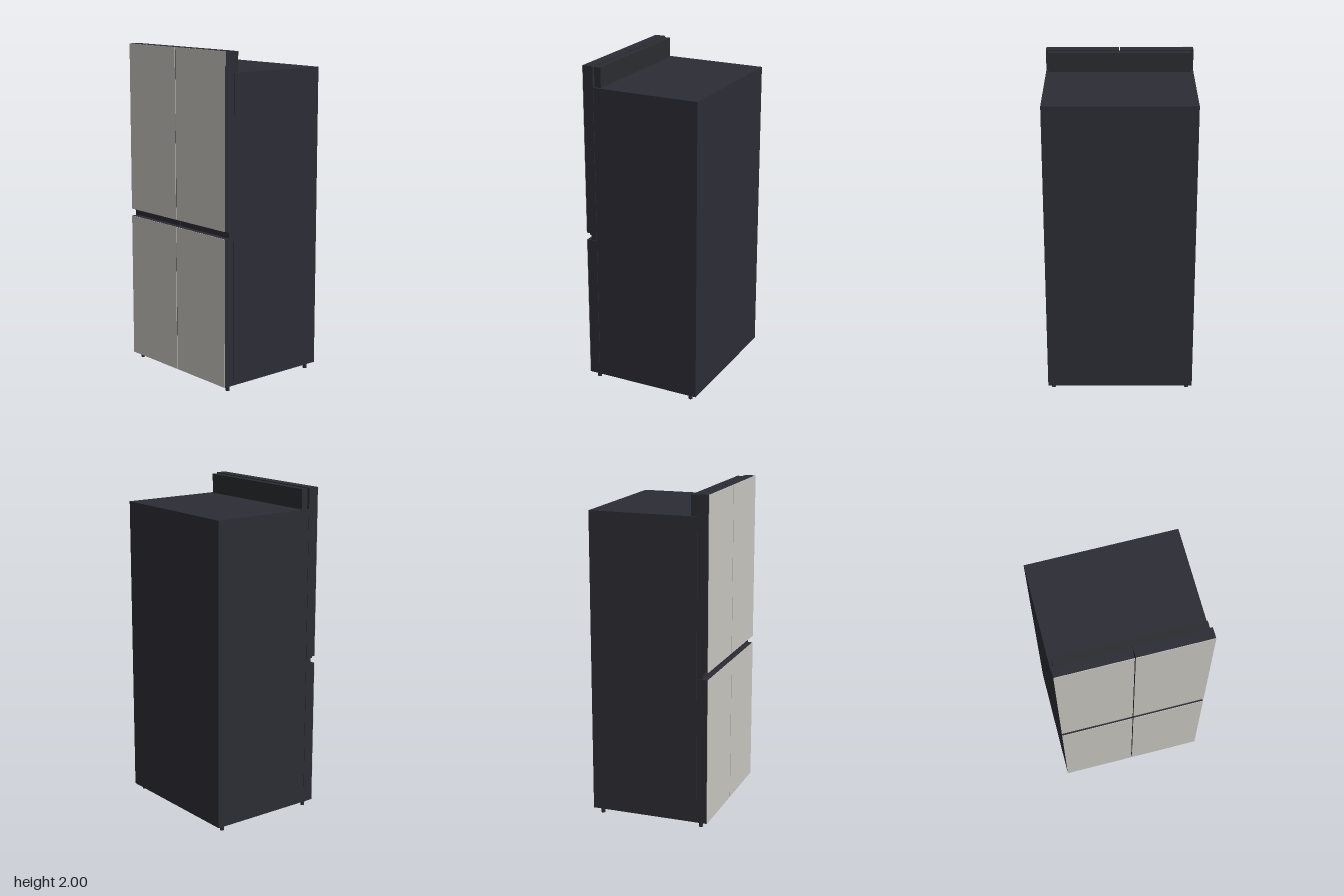
import * as THREE from 'three';

export function createModel() {
  const group = new THREE.Group();
  const material = (name, color) => {
    const m = new THREE.MeshStandardMaterial({ color });
    m.name = name;
    return m;
  };
  const charcoal = material('charcoal casing', 0x2c2c35);
  const graphite = material('graphite trim', 0x2a2c30);
  const panel = material('warm grey panel', 0xc8c6bf);

  const add = (name, geometry, mat, x = 0, y = 0, z = 0) => {
    const mesh = new THREE.Mesh(geometry, mat);
    mesh.name = name;
    mesh.position.set(x, y, z);
    group.add(mesh);
  };
  // Box given by its lower and upper corners
  const box = (name, mat, [x0, y0, z0], [x1, y1, z1]) =>
    add(name, new THREE.BoxGeometry(x1 - x0, y1 - y0, z1 - z0), mat,
      (x0 + x1) / 2, (y0 + y1) / 2, (z0 + z1) / 2);

  // Cabinet and the raised hinge cover behind the upper doors
  box('cabinet', charcoal, [-0.447, 0.035, -0.367], [0.447, 1.875, 0.297]);
  box('hingeCover', graphite, [-0.432, 1.875, 0.255], [0.432, 1.995, 0.297]);

  // Door side profiles as [z, y]; the upper one is undercut to form a grip
  const lowerProfile = [[0.299, 0.035], [0.364, 0.035], [0.364, 0.928], [0.299, 0.928]];
  const upperProfile = [[0.299, 0.93], [0.335, 0.93], [0.335, 0.962], [0.345, 0.962],
    [0.345, 0.972], [0.364, 0.972], [0.364, 2], [0.299, 2]];
  const gap = 0.003, width = 0.444;
  const doorGeometry = (profile) => {
    const shape = new THREE.Shape(profile.map(([z, y]) => new THREE.Vector2(z, y)));
    return new THREE.ExtrudeGeometry(shape, { depth: width, bevelEnabled: false })
      .rotateY(-Math.PI / 2).translate(width / 2, 0, 0);
  };

  for (const side of [-1, 1]) {
    const label = side > 0 ? 'left' : 'right';
    const x = side * (gap + width / 2);
    add(label + 'LowerDoor', doorGeometry(lowerProfile), charcoal, x);
    add(label + 'UpperDoor', doorGeometry(upperProfile), charcoal, x);
    // Thin coloured fronts
    for (const [name, y0, y1] of [['LowerPanel', 0.035, 0.928], ['UpperPanel', 0.972, 2]]) {
      box(label + name, panel, [x - width / 2, y0, 0.364], [x + width / 2, y1, 0.367]);
    }
    // Levelling feet
    for (const z of [-0.318, 0.318]) {
      add(label + (z > 0 ? 'FrontFoot' : 'BackFoot'),
        new THREE.CylinderGeometry(0.012, 0.012, 0.036, 16), graphite, side * 0.415, 0.018, z);
    }
  }

  // Seals closing the gaps between the doors
  box('lowerSeal', graphite, [-gap, 0.035, 0.297], [gap, 0.928, 0.32]);
  box('upperSeal', graphite, [-gap, 0.93, 0.297], [gap, 1.99, 0.32]);

  return group;
}
